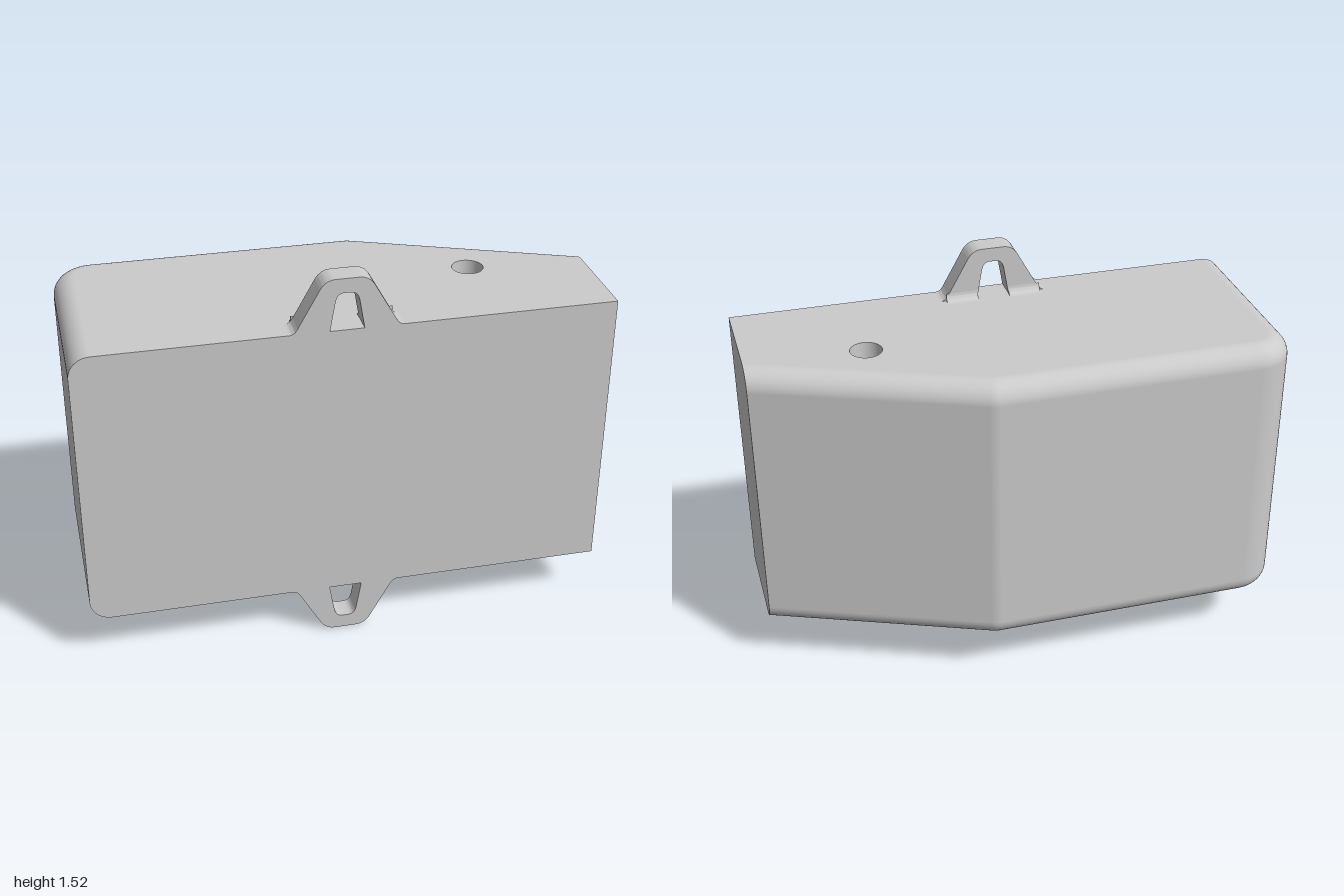
import * as THREE from 'three';
import { toCreasedNormals } from 'three/addons/utils/BufferGeometryUtils.js';

const Y0 = 0.2, Y1 = 1.32, FILLET = 0.08, FRONT = 0.4;
const SLOPE = Math.atan2(0.34, 0.83);
const HOLE = { x: 0.55, z: 0, r: 0.06 };
const EAR_X = -0.015, EAR_BACK = 0.31;

// Plan outline (left side, rounded corner, back, sloped back) inset by d
function planPath(d) {
  const path = [{ x: -1 + d, z: FRONT, nx: -1, nz: 0 }];
  const arc = (cx, cz, r, from, to, steps) => {
    for (let i = 0; i <= steps; i++) {
      const a = from + (to - from) * i / steps;
      const nx = Math.sin(a), nz = -Math.cos(a);
      path.push({ x: cx + (r - d) * nx, z: cz + (r - d) * nz, nx, nz });
    }
  };
  arc(-0.85, -0.25, 0.15, -Math.PI / 2, 0, 14);
  arc(0.15, -0.3, 0.1, 0, SLOPE, 6);
  path.push({ x: 1, z: -0.06 + d / Math.cos(SLOPE), nx: Math.sin(SLOPE), nz: -Math.cos(SLOPE) });
  return path;
}

// Walls lofted through stacked outlines, with rounded top and bottom edges
function wallGeometry() {
  const rows = [], steps = 10;
  for (const top of [false, true]) {
    for (let i = 0; i <= steps; i++) {
      const t = (Math.PI / 2) * (top ? i / steps : i / steps - 1);
      rows.push({
        y: (top ? Y1 - FILLET : Y0 + FILLET) + FILLET * Math.sin(t),
        t, path: planPath(FILLET * (1 - Math.cos(t))),
      });
    }
  }
  const pos = [], nor = [], idx = [];
  const strip = (pick, flat) => {
    const base = pos.length / 3;
    let n = 0;
    for (const { y, t, path } of rows) {
      const points = pick(path);
      n = points.length;
      for (const p of points) {
        pos.push(p.x, y, p.z);
        if (flat) nor.push(...flat);
        else nor.push(p.nx * Math.cos(t), Math.sin(t), p.nz * Math.cos(t));
      }
    }
    for (let j = 0; j < rows.length - 1; j++) {
      for (let i = 0; i < n - 1; i++) {
        const a = base + j * n + i, up = a + n;
        idx.push(a, up, a + 1, a + 1, up, up + 1);
      }
    }
  };
  const corner = { x: 1, z: FRONT };
  strip(p => p);
  strip(p => [p[p.length - 1], corner], [1, 0, 0]);
  strip(p => [corner, p[0]], [0, 0, 1]);
  const geo = new THREE.BufferGeometry();
  geo.setAttribute('position', new THREE.Float32BufferAttribute(pos, 3));
  geo.setAttribute('normal', new THREE.Float32BufferAttribute(nor, 3));
  geo.setIndex(idx);
  return geo;
}

// Flat end face with the round hole; dir is 1 for top, -1 for bottom
function capGeometry(dir) {
  const points = planPath(FILLET).map(p => new THREE.Vector2(p.x, -dir * p.z));
  points.push(new THREE.Vector2(1, -dir * FRONT));
  const shape = new THREE.Shape(points);
  shape.holes.push(new THREE.Path().absarc(HOLE.x, -dir * HOLE.z, HOLE.r, 0, Math.PI * 2, true));
  return new THREE.ShapeGeometry(shape, 24).rotateX(-dir * Math.PI / 2);
}

// Tapered loop with flared feet and a slot open at the base
function earGeometry() {
  const s = new THREE.Shape();
  s.moveTo(0.21, 0);
  s.quadraticCurveTo(0.19, 0, 0.178, 0.024);
  s.lineTo(0.1, 0.163);
  s.quadraticCurveTo(0.079, 0.2, 0.042, 0.2);
  s.lineTo(-0.042, 0.2);
  s.quadraticCurveTo(-0.079, 0.2, -0.1, 0.163);
  s.lineTo(-0.178, 0.024);
  s.quadraticCurveTo(-0.19, 0, -0.21, 0);
  s.lineTo(-0.063, 0);
  s.lineTo(-0.044, 0.11);
  s.quadraticCurveTo(-0.038, 0.145, -0.012, 0.145);
  s.lineTo(0.012, 0.145);
  s.quadraticCurveTo(0.038, 0.145, 0.044, 0.11);
  s.lineTo(0.063, 0);
  const geo = new THREE.ExtrudeGeometry(s, { depth: FRONT - EAR_BACK, bevelEnabled: false, curveSegments: 10 });
  return toCreasedNormals(geo, 0.5);
}

// Concave fillet behind one foot of a loop, running along x
function footFilletGeometry() {
  const r = 0.03;
  const s = new THREE.Shape();
  s.moveTo(0, 0);
  s.lineTo(r, 0);
  s.absarc(r, r, r, -Math.PI / 2, -Math.PI, true);
  s.lineTo(0, 0);
  const geo = new THREE.ExtrudeGeometry(s, { depth: 0.125, bevelEnabled: false, curveSegments: 8 });
  return toCreasedNormals(geo.rotateY(Math.PI / 2), 0.5);
}

export function createModel() {
  const model = new THREE.Group();
  const material = new THREE.MeshStandardMaterial({ color: 0xcccccc });
  const add = (parent, name, geo, mat = material) => {
    const mesh = new THREE.Mesh(geo, mat);
    mesh.name = name;
    parent.add(mesh);
    return mesh;
  };

  // Main body
  const body = new THREE.Group();
  body.name = 'body';
  model.add(body);
  add(body, 'bodyWalls', wallGeometry());
  add(body, 'topFace', capGeometry(1)).position.y = Y1;
  add(body, 'bottomFace', capGeometry(-1)).position.y = Y0;

  // Vertical through hole
  const inner = material.clone();
  inner.side = THREE.BackSide;
  const bore = add(body, 'throughHole', new THREE.CylinderGeometry(HOLE.r, HOLE.r, Y1 - Y0, 48, 1, true), inner);
  bore.position.set(HOLE.x, (Y0 + Y1) / 2, HOLE.z);

  // Mounting loops above and below
  for (const [name, y, turn] of [['topLoop', Y1, 0], ['bottomLoop', Y0, Math.PI]]) {
    const loop = new THREE.Group();
    loop.name = name;
    loop.position.set(EAR_X, y, EAR_BACK);
    loop.rotation.z = turn;
    add(loop, 'loopBracket', earGeometry());
    for (const x of [0.062, -0.187]) add(loop, 'footFillet', footFilletGeometry()).position.x = x;
    model.add(loop);
  }
  return model;
}
